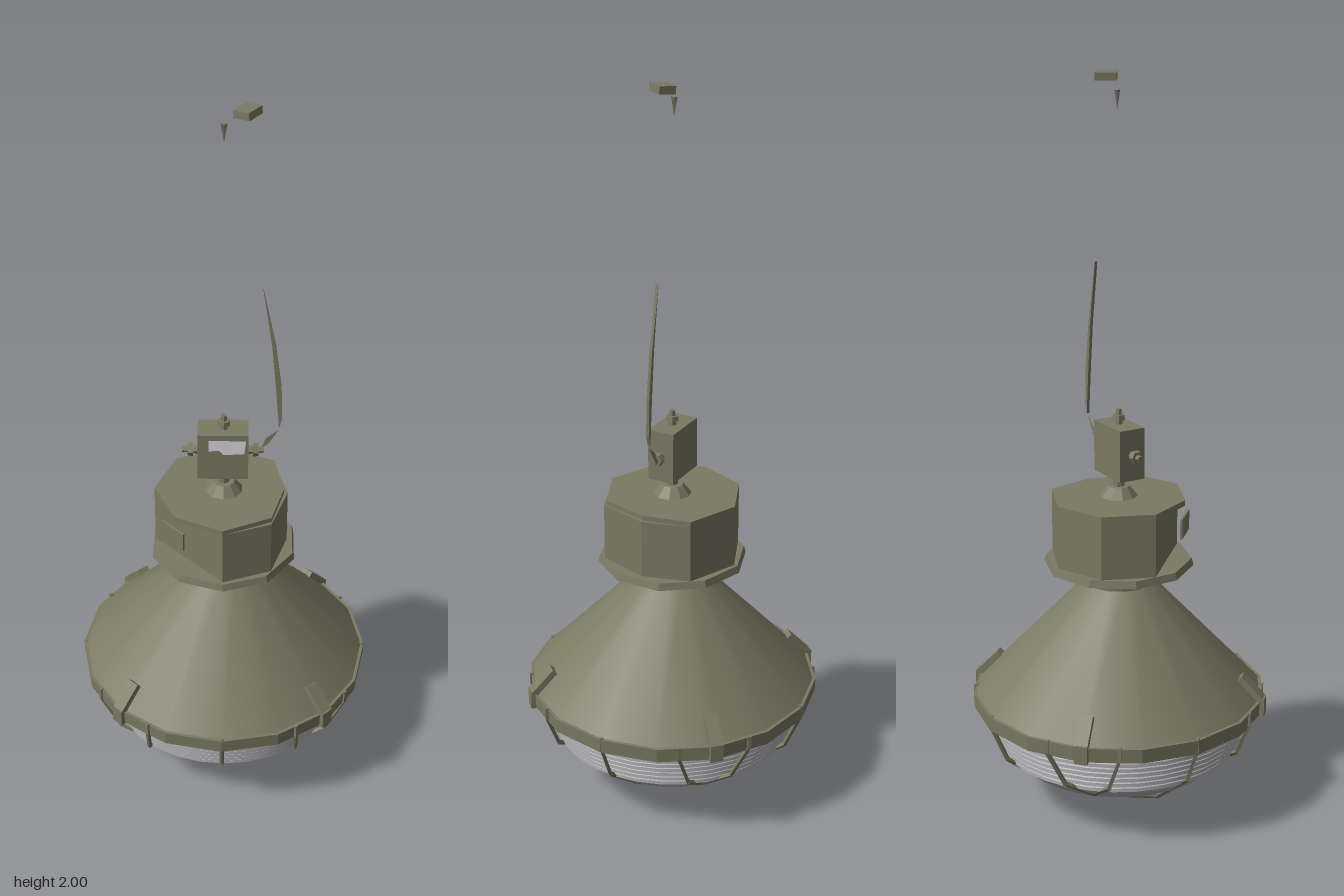
import * as THREE from 'three';
import { toCreasedNormals } from 'three/addons/utils/BufferGeometryUtils.js';

export function createModel() {
  const model = new THREE.Group();
  const material = (name, color, side = THREE.FrontSide) =>
    Object.assign(new THREE.MeshStandardMaterial({ color, side }), { name });
  const olive = material('olivePaint', 0x7b7a63);
  const sheet = material('oliveSheet', 0x7b7a63, THREE.DoubleSide);
  const glass = material('greyGlass', 0xb2b2b6, THREE.DoubleSide);
  const white = material('labelWhite', 0xdcdcde);

  function add(name, geometry, mat = olive, x = 0, y = 0, z = 0) {
    const mesh = new THREE.Mesh(geometry, mat);
    mesh.name = name;
    mesh.position.set(x, y, z);
    model.add(mesh);
    return mesh;
  }
  // Upright cylinder between two heights
  function drum(name, rTop, rBottom, y0, y1, sides, crease = 0.5) {
    const g = new THREE.CylinderGeometry(rTop, rBottom, y1 - y0, sides);
    return add(name, toCreasedNormals(g, crease), olive, 0, (y0 + y1) / 2);
  }
  // Upright prism over an outline of [x, z] points
  function prism(name, outline, y0, y1) {
    const shape = new THREE.Shape(outline.map(([x, z]) => new THREE.Vector2(x, -z)));
    const g = new THREE.ExtrudeGeometry(shape, { depth: y1 - y0, bevelEnabled: false });
    return add(name, g.rotateX(-Math.PI / 2), olive, 0, y0);
  }
  const lathe = (pts, sides) =>
    new THREE.LatheGeometry(pts.map(p => new THREE.Vector2(p[0], p[1])), sides);

  // Shade, rim and neck
  drum('shade', 0.097, 0.4, 0.31, 0.63, 16);
  drum('rim', 0.407, 0.405, 0.272, 0.312, 16, 0.3);
  drum('neck', 0.097, 0.097, 0.62, 0.69, 16);

  // Gear housing with one cut corner under a wider lid
  drum('housingFlange', 0.2, 0.205, 0.678, 0.698, 10, 0.3);
  const body = [[0, 0.19], [0.13, 0.14], [0.175, 0], [0.14, -0.13], [0, -0.19], [-0.135, -0.135], [-0.19, 0]];
  prism('housing', body, 0.695, 0.86);
  const lid = [[0, 0.19], [0.13, 0.13], [0.165, 0], [0.14, -0.13], [0, -0.19], [-0.135, -0.135], [-0.19, 0], [-0.13, 0.13]];
  prism('housingLid', lid, 0.858, 0.874);
  const plate = add('namePlate', new THREE.BoxGeometry(0.09, 0.055, 0.006), olive, -0.137, 0.808, 0.125);
  plate.rotation.y = -Math.PI / 4;

  // Hanger box on its boss
  drum('boss', 0.03, 0.055, 0.87, 0.902, 10);
  drum('bossStem', 0.016, 0.016, 0.9, 0.94, 8);
  add('hangerBox', new THREE.BoxGeometry(0.136, 0.142, 0.076), olive, -0.002, 1.005, 0);
  const label = new THREE.Shape([[-0.04, 1.06], [-0.04, 1.026], [-0.012, 1.028], [0.0, 1.014], [0.055, 1.018], [0.06, 1.06]]
    .map(p => new THREE.Vector2(...p)));
  add('boxLabel', new THREE.ShapeGeometry(label), white, 0, 0, 0.0395);

  // Cable glands on the sides and top of the box
  for (const [x, y, turn] of [[-0.07, 1.005, Math.PI / 2], [0.066, 1.005, -Math.PI / 2], [0, 1.075, 0]]) {
    const gland = new THREE.Group();
    gland.name = 'cableGland';
    gland.position.set(x, y, 0);
    gland.rotation.z = turn;
    for (const [r, h, at] of [[0.012, 0.018, 0.008], [0.019, 0.014, 0.02], [0.009, 0.016, 0.034]]) {
      const ring = new THREE.Mesh(toCreasedNormals(new THREE.CylinderGeometry(r * 0.9, r, h, 6), 0.5), olive);
      ring.name = 'glandRing';
      ring.position.y = at;
      gland.add(ring);
    }
    model.add(gland);
  }

  // Loose cable slivers
  const cable = new THREE.Shape([[0.1, 1.5], [0.125, 1.33], [0.137, 1.2], [0.147, 1.07], [0.155, 1.1], [0.152, 1.2], [0.135, 1.33]]
    .map(p => new THREE.Vector2(...p)));
  add('cable', new THREE.ExtrudeGeometry(cable, { depth: 0.008, bevelEnabled: false }), olive, 0, 0, -0.014);
  const tail = new THREE.Shape([[0.1, 1.0], [0.12, 1.018], [0.148, 1.065], [0.112, 1.035]].map(p => new THREE.Vector2(...p)));
  add('cableTail', new THREE.ShapeGeometry(tail), sheet, 0, 0, -0.01);

  // Ceiling hook pieces
  const hook = add('ceilingBlock', new THREE.BoxGeometry(0.046, 0.02, 0.056), olive, 0.057, 1.989, -0.003);
  hook.rotation.set(0, -0.6, 0.08);
  const tip = add('hookTip', new THREE.ConeGeometry(0.009, 0.05, 4), olive, 0, 1.932, -0.005);
  tip.rotation.x = Math.PI;

  // Ribbed glass bowl
  const bowl = [[0, 0.035], [0.1, 0.043], [0.2, 0.07], [0.28, 0.11], [0.325, 0.15]];
  add('glassBowl', lathe(bowl, 32), glass);
  const ribs = [[0.325, 0.15]];
  for (let i = 0; i < 7; i++) {
    const y = 0.15 + i * 0.0175, r = 0.333 + i * 0.0065;
    ribs.push([r, y + 0.003], [r, y + 0.013], [r - 0.004, y + 0.0175]);
  }
  add('glassRibs', toCreasedNormals(lathe(ribs, 32), 0.4), glass);

  // Wire guard: a square grid of bars wrapped below the bowl
  const profile = [[0, 0.008], [0.215, 0.06], [0.355, 0.175], [0.4, 0.28]];
  function guardHeight(r) {
    for (let i = 1; i < profile.length; i++) {
      const [a, ya] = profile[i - 1], [b, yb] = profile[i];
      if (r <= b) return ya + (yb - ya) * (r - a) / (b - a);
    }
    return 0.28;
  }
  const up = new THREE.Vector3(0, 1, 0);
  function rod(name, a, b, radius) {
    const d = b.clone().sub(a);
    const g = toCreasedNormals(new THREE.CylinderGeometry(radius, radius, d.length() + radius, 4), 0.5);
    const m = add(name, g);
    m.position.copy(a).addScaledVector(d, 0.5);
    m.quaternion.setFromUnitVectors(up, d.normalize());
  }
  for (const swap of [false, true]) {
    for (const c of [-0.205, 0, 0.205]) {
      const end = Math.sqrt(0.4 * 0.4 - c * c);
      const mid = Math.sqrt(0.355 * 0.355 - c * c);
      const stops = [-end, -mid, -0.205, 0, 0.205, mid, end];
      const pts = stops.map(t => {
        const y = guardHeight(Math.hypot(c, t));
        return swap ? new THREE.Vector3(t, y, c) : new THREE.Vector3(c, y, t);
      });
      for (let i = 1; i < pts.length; i++) rod('guardBar', pts[i - 1], pts[i], 0.0065);
      for (const p of [pts[0], pts[pts.length - 1]])
        rod('guardTab', p, p.clone().setY(0.312), 0.007);
    }
  }

  // Four slanted clips on the shade edge
  for (let i = 0; i < 4; i++) {
    const clip = new THREE.Group();
    clip.name = 'rimClip';
    clip.rotation.y = Math.PI / 4 + i * Math.PI / 2;
    const arm = new THREE.Mesh(new THREE.BoxGeometry(0.036, 0.018, 0.085), olive);
    arm.name = 'clipArm';
    arm.position.set(0, 0.345, 0.375);
    arm.rotation.x = 0.8;
    const foot = new THREE.Mesh(new THREE.BoxGeometry(0.036, 0.05, 0.014), olive);
    foot.name = 'clipFoot';
    foot.position.set(0, 0.295, 0.408);
    clip.add(arm, foot);
    model.add(clip);
  }
  return model;
}
